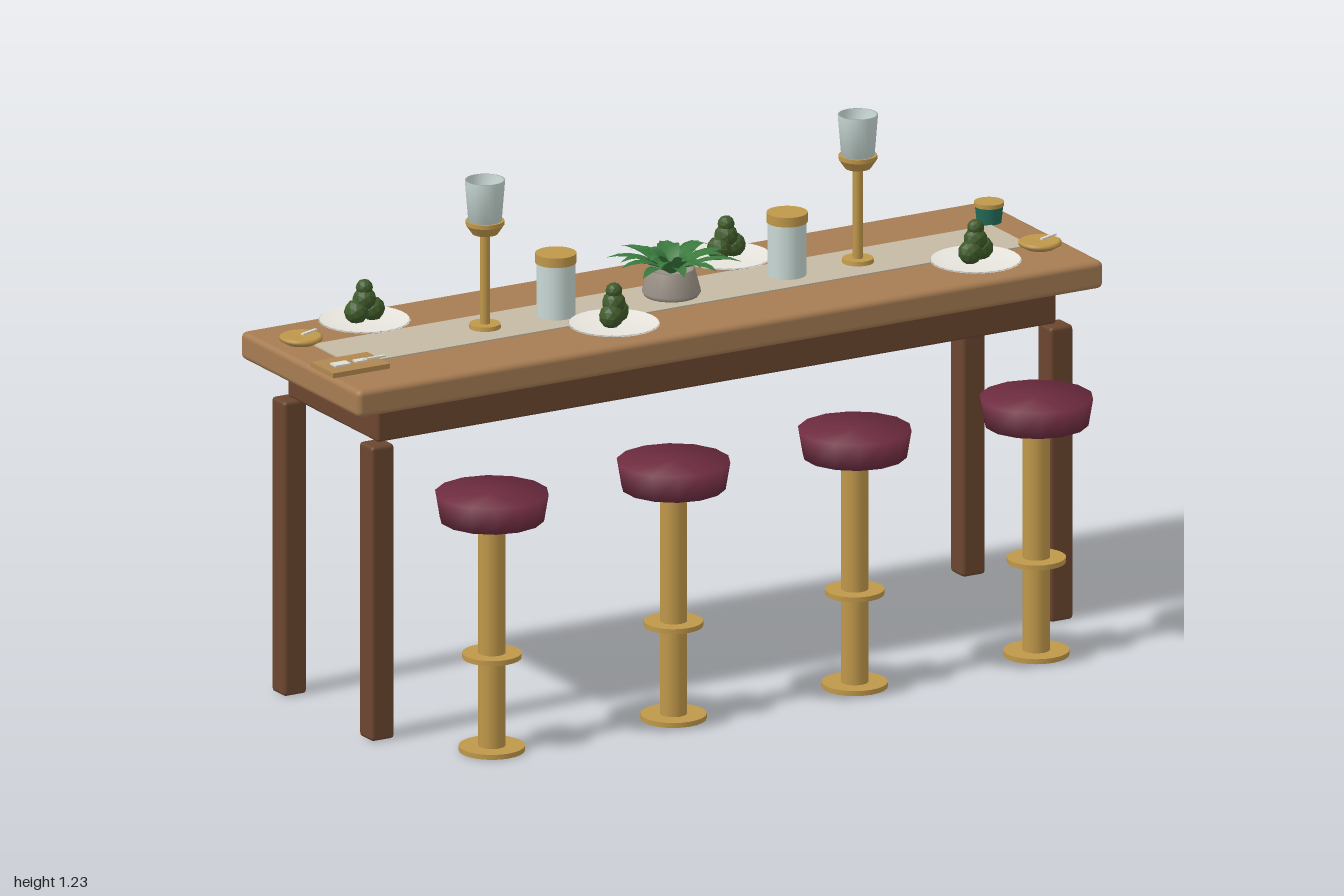
import * as THREE from 'three';
import { mergeVertices } from 'three/addons/utils/BufferGeometryUtils.js';
import { RoundedBoxGeometry } from 'three/addons/geometries/RoundedBoxGeometry.js';

const mat = (color, extra = {}) => new THREE.MeshStandardMaterial({ color, ...extra });
const M = {
  top: mat(0xa67c52), wood: mat(0x6b4630), seat: mat(0x6e2c40), gold: mat(0xbf974a),
  glass: mat(0xc9d9d5, { side: THREE.DoubleSide }), runner: mat(0xc4b9a4), plate: mat(0xe8e5de),
  food: mat(0x3f5a2a, { flatShading: true }), leaf: mat(0x3b7a3e, { side: THREE.DoubleSide }),
  pot: mat(0x9a9186), teal: mat(0x236b58), tray: mat(0xb08850), card: mat(0xe0ddd4),
};

const TABLE_Y = 0.872;   // working surface
const MID_Z = -0.145;    // centre line of the table

function add(parent, name, geometry, material, x = 0, y = 0, z = 0) {
  const mesh = new THREE.Mesh(geometry, material);
  mesh.name = name;
  mesh.position.set(x, y, z);
  parent.add(mesh);
  return mesh;
}

function group(parent, name, x, y, z) {
  const g = new THREE.Group();
  g.name = name;
  g.position.set(x, y, z);
  parent.add(g);
  return g;
}

// Cylinder between two heights
function cyl(parent, name, material, rTop, rBottom, y0, y1, sides = 20, open = false) {
  return add(parent, name, new THREE.CylinderGeometry(rTop, rBottom, y1 - y0, sides, 1, open),
    material, 0, (y0 + y1) / 2, 0);
}

const lathe = (points, sides = 28) =>
  new THREE.LatheGeometry(points.map(([r, y]) => new THREE.Vector2(r, y)), sides);

// Joined normals give the padded cushion its soft edge
function cushionGeometry() {
  const g = new THREE.CylinderGeometry(0.133, 0.122, 0.065, 14);
  g.deleteAttribute('normal');
  g.deleteAttribute('uv');
  const soft = mergeVertices(g);
  soft.computeVertexNormals();
  return soft;
}

function stool(parent, x) {
  const g = group(parent, 'stool', x, 0, 0.28);
  cyl(g, 'stoolBase', M.gold, 0.077, 0.077, 0, 0.012, 24);
  cyl(g, 'stoolPost', M.gold, 0.032, 0.032, 0.012, 0.565, 16);
  cyl(g, 'footRing', M.gold, 0.069, 0.069, 0.225, 0.237, 24);
  add(g, 'stoolSeat', cushionGeometry(), M.seat, 0, 0.593, 0);
}

function candleHolder(parent, x) {
  const g = group(parent, 'candleHolder', x, TABLE_Y, MID_Z);
  cyl(g, 'holderBase', M.gold, 0.036, 0.038, 0, 0.012);
  cyl(g, 'holderStem', M.gold, 0.012, 0.012, 0.012, 0.235, 12);
  cyl(g, 'holderCup', M.gold, 0.045, 0.03, 0.23, 0.252);
  cyl(g, 'holderRim', M.gold, 0.045, 0.045, 0.252, 0.262);
  add(g, 'glassShade', lathe([[0, 0.262], [0.039, 0.262], [0.047, 0.36], [0.043, 0.36], [0.036, 0.27], [0, 0.27]]), M.glass);
}

function jar(parent, x) {
  const g = group(parent, 'jar', x, TABLE_Y, MID_Z);
  cyl(g, 'jarBody', M.glass, 0.045, 0.045, 0, 0.13, 24);
  cyl(g, 'jarLid', M.gold, 0.048, 0.048, 0.13, 0.153, 24);
}

function servedPlate(parent, x, z, angle) {
  const g = group(parent, 'servedPlate', x, TABLE_Y, z);
  g.rotation.y = angle;
  add(g, 'plate', lathe([[0, 0], [0.07, 0], [0.107, 0.013], [0.104, 0.016], [0.072, 0.007], [0, 0.007]]), M.plate);
  for (const [px, py, r] of [[-0.022, 0.037, 0.029], [0.023, 0.037, 0.029], [0, 0.064, 0.028], [0, 0.092, 0.02]])
    add(g, 'vegetable', new THREE.IcosahedronGeometry(r, 1), M.food, px, py, 0);
}

function dish(parent, x, z) {
  const g = group(parent, 'dish', x, TABLE_Y, z);
  add(g, 'dishBody', lathe([[0, 0], [0.035, 0], [0.05, 0.009], [0.05, 0.016], [0.044, 0.019], [0, 0.015]]), M.gold);
  const handle = add(g, 'dishSpoon', new THREE.BoxGeometry(0.05, 0.004, 0.008), M.card, 0.025, 0.021, -0.005);
  handle.rotation.y = 0.35;
}

// A pointed blade: rises from the crown, then bends outward
function leafGeometry(length, lift, width) {
  const steps = 6;
  const g = new THREE.PlaneGeometry(1, 1, steps, 2);
  const p = g.attributes.position;
  for (let i = 0; i < p.count; i++) {
    const t = p.getX(i) + 0.5, s = p.getY(i) * 2;
    const w = width * Math.sin(Math.PI * (0.12 + 0.88 * t)) ** 0.8;
    const fold = 0.25 * w * Math.abs(s);
    p.setXYZ(i, t * length, lift * Math.sin(t * 2.1) + fold, -s * w);
  }
  g.computeVertexNormals();
  return g;
}

function plant(parent) {
  const g = group(parent, 'pottedPlant', 0, TABLE_Y, MID_Z);
  add(g, 'pot', lathe([[0, 0], [0.062, 0], [0.069, 0.012], [0.055, 0.066], [0.049, 0.066], [0.045, 0.055], [0, 0.055]], 20), M.pot);
  const rings = [[10, 0.165, 0.04, 0.018], [7, 0.13, 0.05, 0.018], [5, 0.08, 0.055, 0.015]];
  rings.forEach(([n, length, lift, width], r) => {
    for (let i = 0; i < n; i++) {
      const len = length * (0.9 + 0.1 * Math.sin(i * 2.3 + r));
      const blade = add(g, 'leaf', leafGeometry(len, lift, width), M.leaf, 0, 0.052, 0);
      blade.rotation.y = (i + r * 0.37) * Math.PI * 2 / n;
    }
  });
}

export function createModel() {
  const model = new THREE.Group();
  model.name = 'diningBar';

  // Table
  const table = group(model, 'table', 0, 0, 0);
  add(table, 'tableTop', new RoundedBoxGeometry(2, 0.067, 0.545, 2, 0.014), M.top, 0, 0.8375, -0.1425);
  add(table, 'apron', new RoundedBoxGeometry(1.82, 0.092, 0.415, 1, 0.007), M.wood, 0, 0.761, -0.1425);
  for (const x of [-0.91, 0.91])
    for (const z of [0.06, -0.342])
      add(table, 'tableLeg', new RoundedBoxGeometry(0.062, 0.715, 0.062, 1, 0.009), M.wood, x, 0.3575, z);
  add(table, 'tableRunner', new THREE.BoxGeometry(1.82, 0.004, 0.18), M.runner, 0, 0.872, MID_Z);

  for (const x of [-0.73, -0.243, 0.243, 0.73]) stool(model, x);

  // Centre line
  for (const side of [-1, 1]) {
    candleHolder(model, side * 0.5);
    jar(model, side * 0.31);
  }
  plant(model);

  // Place settings
  servedPlate(model, -0.73, -0.305, 0.05);
  servedPlate(model, 0.24, -0.305, 0.2);
  servedPlate(model, -0.245, 0.01, 0.75);
  servedPlate(model, 0.725, 0.01, 0.45);

  // Small dishes at the ends
  dish(model, -0.925, -0.262);
  dish(model, 0.922, -0.032);

  // Lidded cup
  const cup = group(model, 'liddedCup', 0.92, TABLE_Y, -0.262);
  cyl(cup, 'cupBody', M.teal, 0.033, 0.029, 0, 0.04);
  cyl(cup, 'cupLid', M.gold, 0.035, 0.035, 0.04, 0.05);

  // Serving board with card and fork
  const board = group(model, 'servingBoard', -0.922, TABLE_Y, -0.042);
  add(board, 'board', new THREE.BoxGeometry(0.152, 0.012, 0.105), M.tray, 0, 0.005, 0);
  add(board, 'card', new THREE.BoxGeometry(0.042, 0.004, 0.026), M.card, -0.027, 0.013, 0.002);
  add(board, 'forkHead', new THREE.BoxGeometry(0.03, 0.004, 0.018), M.card, 0.025, 0.013, 0.002);
  add(board, 'forkHandle', new THREE.BoxGeometry(0.06, 0.004, 0.007), M.card, 0.062, 0.014, 0.002);

  return model;
}
